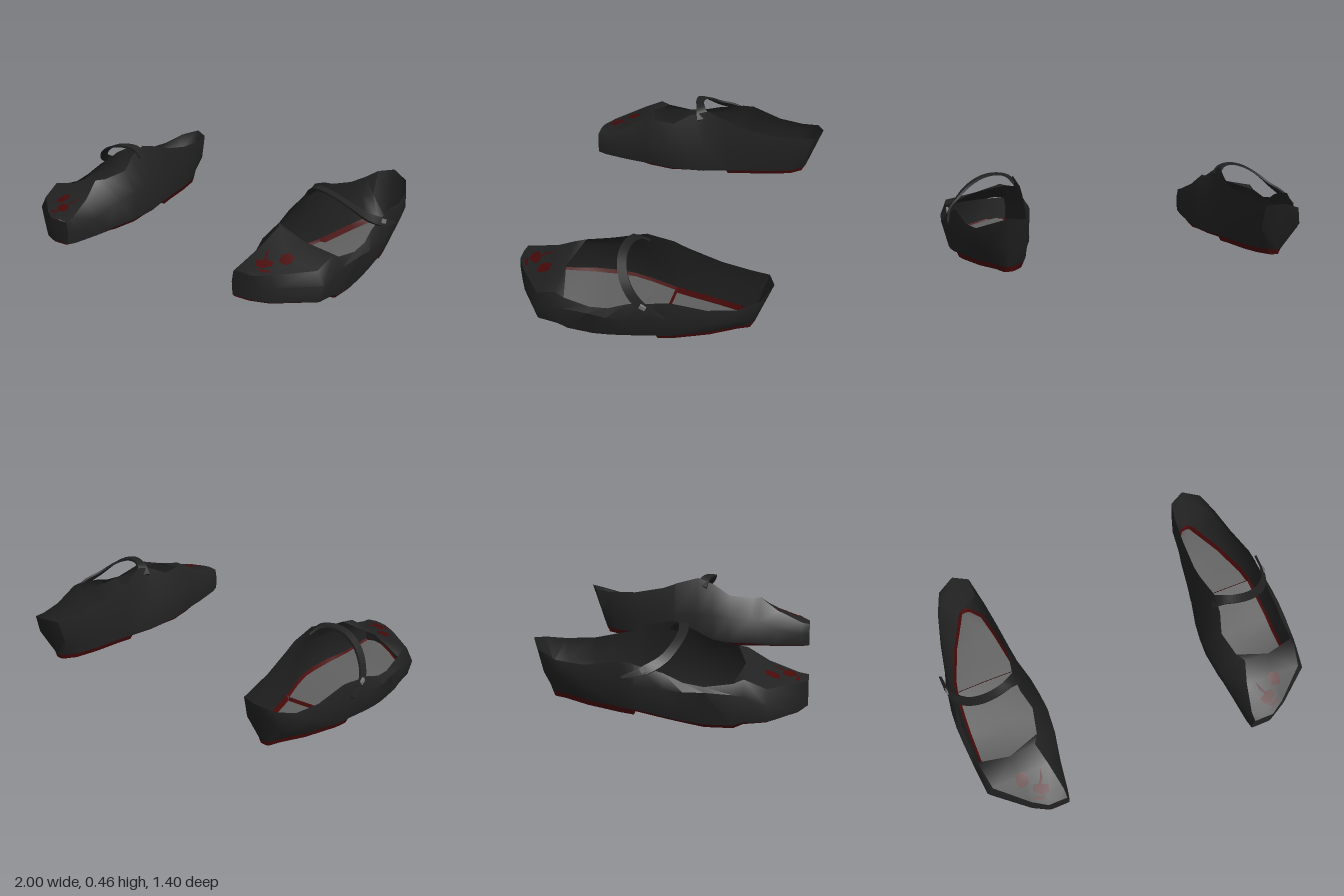
import * as THREE from 'three';
import { toCreasedNormals } from 'three/addons/utils/BufferGeometryUtils.js';

const makeMaterial = (name, color) => {
  const m = new THREE.MeshStandardMaterial({ color, side: THREE.DoubleSide });
  m.name = name;
  return m;
};

// Stations from toe to heel: z, bottom x y, middle x y, rim x y
const OUTER = [
  [0.70, 0.68, 0.05, 0.69, 0.12, 0.68, 0.18],
  [0.65, 0.77, 0.04, 0.78, 0.12, 0.76, 0.185],
  [0.50, 0.95, 0.04, 0.97, 0.13, 0.93, 0.20],
  [0.39, 0.955, 0.035, 0.98, 0.17, 0.95, 0.25],
  [0.34, 0.955, 0.018, 0.985, 0.18, 0.955, 0.228],
  [0.20, 0.955, 0.018, 0.995, 0.19, 0.965, 0.21],
  [0.10, 0.955, 0.03, 1.0, 0.19, 0.968, 0.228],
  [0.00, 0.95, 0.048, 0.995, 0.20, 0.955, 0.27],
  [-0.14, 0.94, 0.075, 0.975, 0.20, 0.95, 0.305],
  [-0.15, 0.94, 0.075, 0.975, 0.20, 0.95, 0.31],
  [-0.22, 0.925, 0.08, 0.955, 0.20, 0.94, 0.32],
  [-0.40, 0.855, 0.09, 0.92, 0.20, 0.905, 0.285],
  [-0.53, 0.785, 0.10, 0.88, 0.22, 0.87, 0.295],
  [-0.59, 0.755, 0.10, 0.83, 0.22, 0.82, 0.335],
];
const INNER = [
  [0.70, 0.565, 0.05, 0.56, 0.12, 0.57, 0.18],
  [0.65, 0.555, 0.045, 0.55, 0.12, 0.57, 0.19],
  [0.50, 0.54, 0.045, 0.53, 0.15, 0.60, 0.255],
  [0.39, 0.525, 0.055, 0.51, 0.20, 0.63, 0.33],
  [0.34, 0.515, 0.06, 0.50, 0.22, 0.60, 0.33],
  [0.20, 0.50, 0.065, 0.49, 0.23, 0.57, 0.35],
  [0.10, 0.505, 0.07, 0.50, 0.24, 0.60, 0.41],
  [0.00, 0.52, 0.07, 0.515, 0.24, 0.605, 0.45],
  [-0.14, 0.555, 0.075, 0.55, 0.24, 0.585, 0.415],
  [-0.15, 0.555, 0.075, 0.55, 0.24, 0.585, 0.41],
  [-0.22, 0.57, 0.08, 0.56, 0.24, 0.585, 0.385],
  [-0.40, 0.60, 0.09, 0.58, 0.23, 0.60, 0.35],
  [-0.53, 0.63, 0.10, 0.60, 0.23, 0.615, 0.345],
  [-0.59, 0.68, 0.10, 0.63, 0.22, 0.635, 0.355],
];
const BACK = [-0.61, 0.72, 0.10, 0.72, 0.23, 0.72, 0.37];
const VAMP_RIDGE = [[0.625, 0.187], [0.665, 0.2], [0.76, 0.232], [0.78, 0.285]];
const HEEL_STEP = 8; // station where the heel drops

// One column of wall points; the heel leans backward as it rises
function column([z, ...p]) {
  const lean = Math.max(0, (-0.5 - z) / 0.1) * 0.08;
  return [0, 2, 4].map(k => [p[k], p[k + 1], z - (lean * (p[k + 1] - 0.1)) / 0.27]);
}

// Sole edge point: slightly inside and below the upper's lower edge
function soleEdge([x, y, z], inward) {
  const drop = z > 0.45 ? 0.006 : z > 0.36 ? 0.012 : z > 0.15 ? 0.018 : z > -0.145 ? 0.012 : 0.03;
  return [x + inward * 0.014, y - drop, z + (inward ? 0 : 0.016)];
}

// Indexed surface through a grid of points, with optional extra triangles
function surface(grid, extra = []) {
  const n = grid[0].length, pos = grid.flat(2), index = [];
  for (let i = 0; i < grid.length - 1; i++)
    for (let j = 0; j < n - 1; j++) {
      const a = i * n + j, b = a + n;
      index.push(a, b, b + 1, a, b + 1, a + 1);
    }
  for (const tri of extra)
    for (const p of tri) {
      index.push(pos.length / 3);
      pos.push(...p);
    }
  const g = new THREE.BufferGeometry();
  g.setAttribute('position', new THREE.Float32BufferAttribute(pos, 3));
  g.setIndex(index);
  return g;
}

// Ankle strap: flat ribbon with thickness, swept over the instep
function strapGeometry() {
  const path = new THREE.CatmullRomCurve3([
    [0.59, 0.40, 0.02], [0.63, 0.443, 0.045], [0.70, 0.452, 0.07], [0.78, 0.432, 0.075],
    [0.86, 0.385, 0.05], [0.92, 0.33, 0], [0.968, 0.288, -0.08], [0.984, 0.25, -0.2],
  ].map(p => new THREE.Vector3(...p)));
  const steps = 22, rings = [];
  for (let i = 0; i <= steps; i++) {
    const t = i / steps, c = path.getPoint(t), tan = path.getTangent(t);
    const out = new THREE.Vector3(c.x - 0.74, c.y - 0.2, 0).normalize();
    const across = new THREE.Vector3().crossVectors(tan, out).normalize();
    const w = t > 0.85 ? 0.024 - (t - 0.85) * 0.12 : t < 0.2 ? 0.038 - t * 0.07 : 0.024;
    rings.push([[1, 1], [-1, 1], [-1, -1], [1, -1], [1, 1]].map(([a, b]) =>
      c.clone().addScaledVector(across, a * w).addScaledVector(out, b * 0.006).toArray()));
  }
  const cap = r => [[r[0], r[1], r[2]], [r[0], r[2], r[3]]];
  return surface(rings, [...cap(rings[0]), ...cap(rings[steps])]);
}

// Thin painted patches that follow the toe surface
const PATCHES = [
  [[0.73, 0.51], [0.74, 0.555], [0.785, 0.56], [0.80, 0.53], [0.79, 0.49], [0.75, 0.485]],
  [[0.65, 0.50], [0.655, 0.55], [0.68, 0.59], [0.69, 0.58], [0.67, 0.55]],
  [[0.64, 0.60], [0.65, 0.635], [0.69, 0.64], [0.73, 0.60], [0.72, 0.57], [0.69, 0.575], [0.665, 0.59]],
  [[0.68, 0.65], [0.70, 0.66], [0.745, 0.645], [0.74, 0.63]],
];
function patchGeometry(outline, toe) {
  const ray = new THREE.Raycaster();
  const onToe = ([x, z]) => {
    ray.set(new THREE.Vector3(x, 1, z), new THREE.Vector3(0, -1, 0));
    const hit = ray.intersectObject(toe)[0];
    return [x, (hit ? hit.point.y : 0.19) + 0.004, z];
  };
  const mid = [0, 1].map(k => outline.reduce((s, p) => s + p[k], 0) / outline.length);
  return surface([...outline, outline[0]].map(p => [onToe(p), onToe(mid)]));
}

function buildShoe(name, side, mats) {
  const shoe = new THREE.Group();
  shoe.name = name;
  const add = (partName, geometry, material, crease = 0.7) => {
    geometry.scale(side, 1, 1);
    if (side < 0) geometry.index.array.reverse();
    const mesh = new THREE.Mesh(toCreasedNormals(geometry, crease), material);
    mesh.name = partName;
    shoe.add(mesh);
  };
  const outer = OUTER.map(column), inner = INNER.map(column), back = column(BACK);

  // Side walls run from the toe around the heel and back
  const loop = [...outer, back, ...[...inner].reverse(), outer[0]];
  add('upperWall', surface(loop), mats.leather, 0.9);

  // Toe cover up to the front of the opening
  const rows = VAMP_RIDGE.map(([x, y], i) => [outer[i][2], [x, y, OUTER[i][0]], inner[i][2]]);
  const toeCover = surface(rows, [
    [outer[3][2], outer[4][2], rows[3][1]],
    [rows[3][1], inner[4][2], inner[3][2]],
  ]);
  const toe = new THREE.Mesh(toeCover.clone(), mats.leather);
  add('toeCover', toeCover, mats.leather, 0.9);
  PATCHES.forEach(p => add('toePatch', patchGeometry(p, toe), mats.red));

  // Sole sheet, its red edge and the step in front of the heel
  const so = outer.map(c => soleEdge(c[0], -1)), si = inner.map(c => soleEdge(c[0], 1));
  const sb = soleEdge(back[0], 0);
  const middle = (a, b) => [(a[0] + b[0]) / 2, (a[1] + b[1]) / 2 + 0.008, a[2]];
  const soleRows = so.map((p, i) => [si[i], middle(p, si[i]), p]);
  add('frontSole', surface(soleRows.slice(0, HEEL_STEP + 1)), mats.sole);
  add('heelSole', surface([...soleRows.slice(HEEL_STEP + 1), [sb, sb, sb]]), mats.sole);
  add('heelStep', surface(soleRows.slice(HEEL_STEP, HEEL_STEP + 2)), mats.red);
  const edge = [...so, sb, ...[...si].reverse(), so[0]];
  add('soleEdge', surface(edge.map((p, i) => [p, loop[i][0]])), mats.red);

  // Strap and buckle
  add('strap', strapGeometry(), mats.leather);
  const buckle = new THREE.BoxGeometry(0.012, 0.024, 0.034);
  buckle.rotateX(-0.4).translate(0.976, 0.29, -0.09);
  add('buckle', buckle, mats.metal);
  return shoe;
}

export function createModel() {
  const mats = {
    leather: makeMaterial('black leather', 0x222222),
    sole: makeMaterial('grey sole', 0x606060),
    red: makeMaterial('dark red', 0x480a0a),
    metal: makeMaterial('buckle grey', 0x777777),
  };
  const model = new THREE.Group();
  model.name = 'pairOfShoes';
  model.add(buildShoe('leftShoe', 1, mats), buildShoe('rightShoe', -1, mats));
  return model;
}
